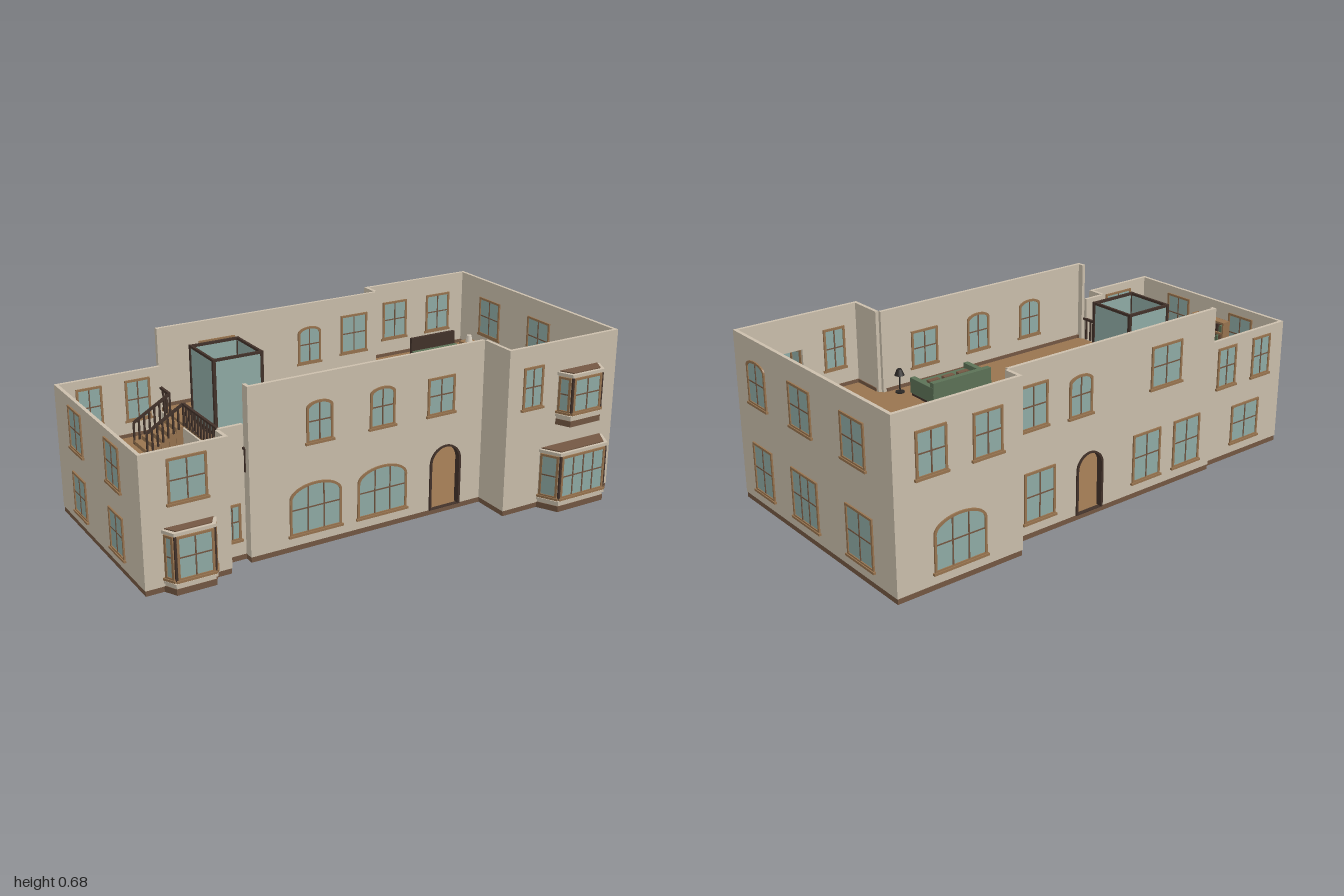
import * as THREE from 'three';

const mat = (name, color) => Object.assign(new THREE.MeshStandardMaterial({ color }), { name });

export function createModel() {
  const M = {
    wall: mat('plaster', 0xcbbfac), wood: mat('oak', 0x98744f), brown: mat('walnut', 0x745843),
    dark: mat('darkTimber', 0x42322a), glass: mat('paneGlass', 0x90aca6), green: mat('greenCloth', 0x5c7257),
    cream: mat('linen', 0xdcd2c2), black: mat('blackMetal', 0x2b2826), stone: mat('stone', 0x9c9684),
  };
  const model = new THREE.Group();
  model.name = 'house';
  const T = 0.014, BASE = 0.022, LOW = 0.26, HIGH = 0.35;
  const SIDES = [-1, 1];

  const add = (parent, name, geo, material, x = 0, y = 0, z = 0) => {
    const m = new THREE.Mesh(geo, material);
    m.name = name;
    m.position.set(x, y, z);
    parent.add(m);
    return m;
  };
  // box placed by its centre in x and z and by its bottom
  const box = (parent, name, material, w, h, d, x = 0, y = 0, z = 0) =>
    add(parent, name, new THREE.BoxGeometry(w, h, d), material, x, y + h / 2, z);
  const cone = (parent, name, material, top, bottom, h, y = 0) =>
    add(parent, name, new THREE.CylinderGeometry(top, bottom, h, 14), material, 0, y + h / 2, 0);
  const group = (name, parent = model, x = 0, y = 0, z = 0) => {
    const g = new THREE.Group();
    g.name = name;
    g.position.set(x, y, z);
    parent.add(g);
    return g;
  };
  const extrude = (shape, depth) => new THREE.ExtrudeGeometry(shape, { depth, bevelEnabled: false, curveSegments: 10 });
  // horizontal slab over a plan of [x, z] points
  const slab = (parent, name, material, pts, y, h) => {
    const s = new THREE.Shape(pts.map(([x, z]) => new THREE.Vector2(x, -z)));
    return add(parent, name, extrude(s, h).rotateX(-Math.PI / 2), material, 0, y);
  };
  // shift a right-angled plan inwards
  const inset = (pts, d) => pts.map((p, i) => {
    const a = pts.at(i - 1), b = pts[(i + 1) % pts.length];
    const side = k => Math.sign(p[k] - a[k]) + Math.sign(b[k] - p[k]);
    return [p[0] + d * side(1), p[1] - d * side(0)];
  });

  // opening outline: flat sill, optional arched head
  const outline = (Kind, u, y, w, h, rise) => {
    const s = new Kind();
    s.moveTo(u - w / 2, y);
    s.lineTo(u + w / 2, y);
    s.lineTo(u + w / 2, y + h - rise);
    if (rise) s.absellipse(u, y + h - rise, w / 2, rise, 0, Math.PI, false);
    else s.lineTo(u - w / 2, y + h);
    s.closePath();
    return s;
  };

  // framed window or open doorway, standing in a wall
  const fit = (parent, u, { w, y0, y1, cols = 2, rise = 0, door }) => {
    const g = group(door ? 'doorway' : 'window', parent, u), f = 0.009, h = y1 - y0;
    const iw = w - 2 * f, ih = h - (door ? f : 2 * f), ir = rise * 0.9, iy = door ? y0 + 0.002 : y0 + f;
    const frame = outline(THREE.Shape, 0, y0, w, h, rise);
    frame.holes.push(outline(THREE.Path, 0, iy, iw, ih, ir));
    add(g, 'frame', extrude(frame, T + 0.012), door ? M.dark : M.wood, 0, 0, -T - 0.006);
    if (door) return;
    add(g, 'pane', extrude(outline(THREE.Shape, 0, iy, iw, ih, ir), T + 0.004), M.glass, 0, 0, -T - 0.002);
    for (let i = 1; i < cols; i++) {
      const x = iw * (i / cols - 0.5), top = ih - ir + ir * Math.sqrt(1 - (2 * x / iw) ** 2);
      box(g, 'mullion', M.brown, 0.005, top, T + 0.009, x, iy, -T / 2);
    }
    box(g, 'crossbar', M.brown, iw, 0.005, T + 0.008, 0, y0 + h / 2, -T / 2);
    box(g, 'sill', M.wood, w + 0.012, 0.009, T + 0.016, 0, y0 - 0.006, -T / 2 + 0.002);
  };

  // wall from a to b, outside on the right when walking along; c is the world coordinate of an opening
  const wall = (parent, name, a, b, y0, y1, openings, skirt) => {
    const dx = b[0] - a[0], dz = b[1] - a[1], len = Math.hypot(dx, dz);
    const g = group(name, parent, a[0], 0, a[1]);
    g.rotation.y = Math.atan2(-dz, dx);
    const s = outline(THREE.Shape, len / 2, y0, len, y1 - y0, 0);
    for (const o of openings) {
      const u = o.c === undefined ? len / 2 : Math.abs(o.c - (dx ? a[0] : a[1]));
      if (o.door || o.open) s.holes.push(outline(THREE.Path, u, o.y0 + 0.001, o.w - 0.004, o.y1 - o.y0 - 0.003, o.rise || 0));
      if (!o.open) fit(g, u, o);
    }
    add(g, 'plaster', extrude(s, T), M.wall, 0, 0, -T);
    if (skirt) box(g, 'skirting', M.brown, len - 2 * T, T, 0.004, len / 2, skirt, -T - 0.002);
  };

  // rows of equal openings: width, then centres
  const row = (y0, y1, more) => (w, ...centres) => centres.map(c => ({ c, w, y0, y1, ...more }));
  const high = row(0.43, 0.6), highArch = row(0.42, 0.58, { rise: 0.025 }), tallArch = row(0.425, 0.6, { rise: 0.025 });
  const low = row(0.067, 0.265), lowTriple = row(0.067, 0.265, { cols: 3 }), lowArch = row(0.065, 0.265, { cols: 3, rise: 0.055 });
  const studyHigh = row(0.328, 0.497), studyLow = row(0.065, 0.23), open = { open: true };
  const door = (w, c, y1) => [{ c, w, y0: BASE, y1, rise: w / 2, door: true }];
  const openings = {
    studyFront: [...studyHigh(0.15, -0.815), ...row(0.03, 0.225, open)(0.17, -0.815)],
    studyRecess: row(0.085, 0.23)(0.07, -0.615),
    hallFront: [...highArch(0.11, -0.272, -0.003), ...row(0.418, 0.57)(0.125, 0.262),
      ...lowArch(0.22, -0.29, 0), ...door(0.145, 0.29, 0.285)],
    bedroomFront: [...high(0.095, 0.577), ...row(0.375, 0.545, open)(0.17, 0.8), ...row(0.03, 0.235, open)(0.27, 0.785)],
    bedroomSide: [...tallArch(0.13, 0.318), ...high(0.145, 0.014, -0.325),
      ...low(0.14, 0.313), ...lowTriple(0.178, 0.016), ...low(0.165, -0.34)],
    bedroomBack: [...high(0.125, 0.84, 0.61), ...lowArch(0.22, 0.73)],
    hallBack: [...high(0.13, 0.35), ...highArch(0.11, 0.13), ...high(0.16, -0.3),
      ...low(0.145, 0.32, -0.21, -0.425), ...door(0.13, 0.08, 0.265)],
    studyBack: [...studyHigh(0.105, -0.66, -0.86), ...studyLow(0.16, -0.785)],
    studySide: [...studyHigh(0.13, -0.24, 0.12), ...studyLow(0.13, -0.24, 0.12)],
  };

  // plan corners of the two levels; each wall starts at its corner
  const W = 0.99, XS = -0.56, XB = 0.46, FS = 0.355, FH = 0.318, FB = 0.475, RECESS = 0.28;
  const hall = {
    hallFront: [XS, FH], bedroomFrontReturn: [XB, FH], bedroomFront: [XB, FB], bedroomSide: [W, FB],
    bedroomBack: [W, -0.553], bedroomBackReturn: [XB, -0.553], hallBack: [XB, -FB], hallBackCorner: [XS, -FB],
  };
  const study = {
    studyBack: [XS, -0.455], studySide: [-W, -0.455], studyFront: [-W, FS], studyReturn: [-0.655, FS],
    studyRecess: [-0.655, RECESS], hallCorner: [XS, RECESS],
  };
  const corners = Object.entries({ ...hall, ...study }), plan = corners.map(c => c[1]);
  corners.forEach(([name, a], i) => {
    const isLow = name.startsWith('study');
    wall(model, name + 'Wall', a, plan[(i + 1) % plan.length], BASE, isLow ? 0.53 : 0.68, openings[name] || [], isLow ? LOW : HIGH);
  });

  // plinth and floors
  slab(model, 'plinth', M.brown, inset(plan, 0.002), 0, BASE);
  slab(model, 'groundFloor', M.wood, inset(plan, 0.012), BASE, 0.003);
  slab(model, 'upperFloor', M.wood, inset(Object.values(hall), 0.006), HIGH - T, T);
  slab(model, 'studyFloor', M.wood, inset(Object.values(study), 0.006), LOW - T, T);
  box(model, 'floorStep', M.wall, 0.008, HIGH - LOW, 0.72, XS, LOW - 0.01, -0.08);

  // bay windows with three glazed sides
  const bay = (name, cx, z, w0, w1, d, y0, y1, cols) => {
    const g = group(name, model, cx, 0, z), wy0 = y0 + 0.033, wy1 = y1 - 0.016;
    const trap = e => [[-w0 / 2 - e, -0.002], [-w1 / 2 - e, d + e], [w1 / 2 + e, d + e], [w0 / 2 + e, -0.002]];
    const p = trap(0), side = Math.hypot((w0 - w1) / 2, d);
    for (let i = 0; i < 3; i++) {
      const o = i === 1 ? { w: w1 - 0.008, cols } : { w: side - 0.012, cols: 1 };
      wall(g, 'bayPanel', p[i], p[i + 1], y0, y1, [{ ...o, y0: wy0, y1: wy1 }]);
    }
    for (const s of SIDES) box(g, 'bayPost', M.dark, 0.008, wy1 - wy0, 0.008, s * w1 / 2, wy0, d);
    slab(g, 'bayBase', M.brown, trap(0.002), y0 - BASE, BASE + 0.002);
    slab(g, 'baySeat', M.wall, trap(0.005), wy0 - 0.02, 0.01);
    slab(g, 'bayCornice', M.wall, trap(0.006), y1 - 0.012, 0.012);
    slab(g, 'bayRoof', M.brown, trap(-0.006), y1, 0.004);
  };
  bay('bedroomLowerBay', 0.785, FB, 0.31, 0.225, 0.078, BASE, 0.25, 4);
  bay('bedroomUpperBay', 0.8, FB, 0.2, 0.145, 0.056, 0.362, 0.556, 2);
  bay('studyBay', -0.815, FS, 0.2, 0.15, 0.045, BASE, 0.24, 2);

  // railing between two points on the floor
  const rail = (x0, y0, z0, x1, y1, z1) => {
    const a = new THREE.Vector3(x0, y0, z0), d = new THREE.Vector3(x1, y1, z1).sub(a);
    const g = group('railing'), h = 0.09, n = Math.round(d.length() / 0.026);
    for (let i = 0; i <= n; i++) {
      const p = a.clone().addScaledVector(d, i / n);
      box(g, 'baluster', M.dark, 0.007, h, 0.007, p.x, p.y, p.z);
    }
    const bar = box(g, 'handrail', M.dark, 0.011, 0.009, d.length());
    bar.position.copy(a).addScaledVector(d, 0.5);
    bar.position.y += h;
    bar.lookAt(bar.position.clone().add(d));
  };
  rail(XS, HIGH, -0.23, XS, HIGH, 0.29);
  rail(XS, HIGH, -0.45, XS, HIGH, -0.36);

  // stairs between the levels
  for (const z of [-0.36, -0.232]) rail(-0.716, LOW, z, XS, HIGH, z);
  for (let i = 0; i < 5; i++) box(model, 'stairTread', M.wood, 0.031, (i + 1) * 0.017, 0.122, -0.704 + i * 0.032, LOW, -0.296);

  // glazed lift shaft
  const lift = group('lift', model, -0.4, 0, -0.17);
  box(lift, 'shaftUnderside', M.stone, 0.2, 0.004, 0.2, 0, -0.001);
  box(lift, 'liftFloor', M.brown, 0.2, 0.006, 0.2, 0, HIGH);
  for (let i = 0; i < 4; i++) {
    const side = group('liftSide', lift);
    side.rotation.y = i * Math.PI / 2;
    box(side, 'liftPane', M.glass, 0.195, 0.625, 0.004, 0, BASE, 0.1);
    box(side, 'liftPost', M.dark, 0.012, 0.635, 0.012, 0.1, BASE, 0.1);
    for (const y of [HIGH, 0.647]) box(side, 'liftRail', M.dark, 0.2, 0.01, 0.01, 0, y, 0.1);
  }

  // bed and night stand
  const bed = group('bed', model, 0.73, HIGH, -0.305);
  box(bed, 'bedFrame', M.brown, 0.23, 0.025, 0.22);
  box(bed, 'mattress', M.cream, 0.225, 0.025, 0.212, 0, 0.025, 0.005);
  box(bed, 'blanket', M.green, 0.23, 0.024, 0.126, 0, 0.03, -0.032);
  box(bed, 'headboard', M.dark, 0.23, 0.11, T, 0, 0, -0.107);
  for (const s of SIDES) box(bed, 'pillow', M.cream, 0.092, T, 0.042, s * 0.052, 0.05, 0.075);
  const stand = group('nightStand', model, 0.91, HIGH, -0.383);
  box(stand, 'cabinet', M.wood, 0.062, 0.055, 0.065);
  cone(stand, 'nightLamp', M.cream, 0.01, 0.016, 0.03, 0.055);

  // furniture on four legs, with its top at height h
  const legged = (name, material, x, y, z, w, h, d) => {
    const g = group(name, model, x, y, z), t = 0.008;
    box(g, 'top', material, w, t, d, 0, h - t);
    for (const i of SIDES) for (const k of SIDES) box(g, 'leg', M.brown, t, h - t, t, i * (w / 2 - t), 0, k * (d / 2 - t));
    return g;
  };
  const coffee = legged('coffeeTable', M.wood, 0.25, HIGH, -0.067, 0.19, 0.045, 0.115);
  for (const s of SIDES) box(coffee, 'book', s < 0 ? M.dark : M.green, 0.045, 0.008, 0.026, s * 0.035, 0.045, -s * 0.008);

  // sofa
  const sofa = group('sofa', model, 0.257, HIGH, 0.138);
  box(sofa, 'sofaFoot', M.dark, 0.27, 0.012, 0.145);
  box(sofa, 'sofaSeat', M.green, 0.275, 0.04, 0.15, 0, 0.012);
  box(sofa, 'sofaBack', M.green, 0.275, 0.082, 0.024, 0, 0.012, -0.066);
  for (const s of SIDES) box(sofa, 'sofaArm', M.green, 0.022, 0.062, 0.15, s * 0.128, 0.012);
  for (const i of [-1, 0, 1]) box(sofa, 'cushion', M.brown, 0.05, 0.016, 0.02, i * 0.07, 0.052, 0.017);

  // floor lamps
  for (const [x, z] of [[0.41, 0.265], [0.92, 0.355]]) {
    const lamp = group('floorLamp', model, x, HIGH, z);
    cone(lamp, 'lampFoot', M.black, 0.018, 0.018, 0.005);
    cone(lamp, 'lampPole', M.black, 0.003, 0.003, 0.08);
    cone(lamp, 'lampShade', M.black, 0.01, 0.02, 0.025, 0.072);
  }

  // study: rug, desk, chair
  const rug = group('rug', model, -0.815, LOW, 0.113);
  box(rug, 'rugBorder', M.cream, 0.215, 0.003, 0.15);
  box(rug, 'rugField', M.green, 0.205, 0.005, 0.14);
  const desk = legged('desk', M.wood, -0.817, LOW, 0.252, 0.215, 0.07, 0.085);
  box(desk, 'deskBox', M.dark, 0.028, 0.02, 0.03, -0.075, 0.07, 0.01);
  box(desk, 'paper', M.cream, 0.06, 0.005, 0.035, -0.015, 0.07);
  cone(group('deskLamp', desk, 0.072, 0.07, 0.013), 'lampShade', M.cream, 0.008, 0.015, 0.035);
  const chair = legged('chair', M.green, -0.815, LOW, 0.158, 0.062, 0.045, 0.065);
  box(chair, 'chairBack', M.green, 0.062, 0.05, 0.008, 0, 0.045, -0.029);

  // bookcase
  const shelves = group('bookcase', model, -0.952, LOW, -0.092);
  box(shelves, 'bookcaseBack', M.brown, 0.006, 0.2, 0.175, -0.016);
  for (const s of SIDES) box(shelves, 'bookcaseSide', M.wood, 0.038, 0.2, 0.008, 0, 0, s * 0.088);
  for (let i = 0; i < 5; i++) {
    box(shelves, 'shelf', M.wood, 0.038, 0.008, 0.175, 0, i * 0.048);
    for (let k = 0; k < 8 && i < 4; k++)
      box(shelves, 'book', [M.green, M.dark, M.brown][(i + k) % 3], 0.022, 0.028 + (k + i) % 3 * 0.004, 0.013, 0, 0.008 + i * 0.048, (k - 3.5) * 0.019);
  }
  return model;
}
